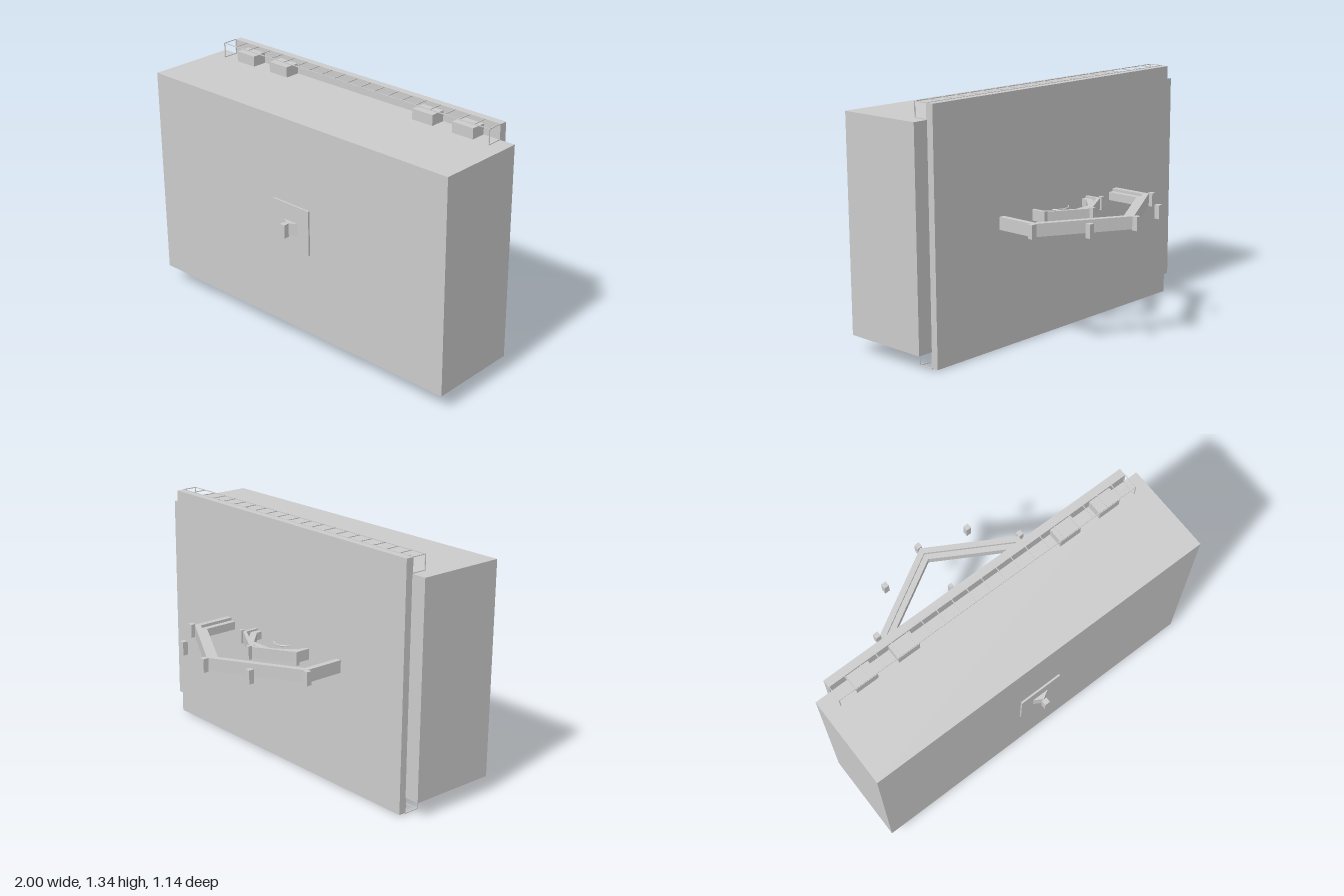
import * as THREE from 'three';

const material = new THREE.MeshStandardMaterial({ color: 0xcccccc, flatShading: true });
const MID_Y = 0.672;

// Box given by its minimum and maximum corners
function box(parent, name, [x0, y0, z0], [x1, y1, z1]) {
  const mesh = new THREE.Mesh(new THREE.BoxGeometry(x1 - x0, y1 - y0, z1 - z0), material);
  mesh.position.set((x0 + x1) / 2, (y0 + y1) / 2, (z0 + z1) / 2);
  mesh.name = name;
  parent.add(mesh);
  return mesh;
}

// Regular polygon wall lying flat, sized by its outer and inner apothem
function polygonWall(parent, name, sides, start, outer, inner, y0, y1) {
  const points = (apothem) => Array.from({ length: sides }, (_, i) => {
    const a = start + (i / sides) * Math.PI * 2;
    const r = apothem / Math.cos(Math.PI / sides);
    return new THREE.Vector2(r * Math.cos(a), r * Math.sin(a));
  });
  const shape = new THREE.Shape(points(outer));
  shape.holes.push(new THREE.Path(points(inner).reverse()));
  const geometry = new THREE.ExtrudeGeometry(shape, { depth: y1 - y0, bevelEnabled: false });
  geometry.rotateX(-Math.PI / 2);
  const mesh = new THREE.Mesh(geometry, material);
  mesh.position.y = y0;
  mesh.name = name;
  parent.add(mesh);
}

// Square posts spaced evenly round a circle, aligned with the axes
function posts(parent, name, count, radius, half) {
  for (let i = 0; i < count; i++) {
    const a = (i / count) * Math.PI * 2;
    const x = radius * Math.sin(a), z = radius * Math.cos(a);
    box(parent, name, [x - half, MID_Y - 0.037, z - half], [x + half, MID_Y + 0.037, z + half]);
  }
}

// Thin wire ladder with an end frame at each side
function wireLadder(name, outerY, innerY) {
  const group = new THREE.Group();
  group.name = name;
  const t = 0.002, w = 0.913, depth = 0.086, cells = 20;
  const wire = (part, a, b) => box(group, part,
    a.map((v, i) => Math.min(v, b[i]) - t), a.map((v, i) => Math.max(v, b[i]) + t));
  for (const z of [0.002, depth]) wire('rail', [-w, outerY, z], [w, outerY, z]);
  for (let i = 0; i <= cells; i++) {
    const x = -w + (2 * w * i) / cells;
    wire('rung', [x, outerY, 0.002], [x, outerY, depth]);
  }
  for (const x of [-w, w]) {
    for (const z of [0.002, depth]) wire('endUpright', [x, outerY, z], [x, innerY, z]);
    wire('endTie', [x, innerY, 0.002], [x, innerY, depth]);
  }
  return group;
}

export function createModel() {
  const model = new THREE.Group();
  model.name = 'model';

  // Main body and plates
  box(model, 'mainBlock', [-1, 0.09, 0], [1, 1.256, 0.5]);
  box(model, 'backPlate', [-0.915, 0.006, -0.04], [0.915, 1.338, 0]);
  box(model, 'frontPanel', [-0.125, 0.55, 0.5], [0.125, 0.8, 0.51]);

  // Brackets and wire ladders on the top and bottom
  for (const side of [-1, 1]) for (const x of [0.5, 0.75]) {
    const cx = side * x;
    box(model, 'topBracket', [cx - 0.064, 1.256, 0], [cx + 0.064, 1.313, 0.084]);
  }
  model.add(wireLadder('topLadder', 1.338, 1.258), wireLadder('bottomLadder', 0.002, 0.088));

  // Concentric walls passing through the block
  const walls = new THREE.Group();
  walls.name = 'concentricWalls';
  model.add(walls);
  const hex = Math.PI / 6;
  polygonWall(walls, 'outerWall', 6, hex, 0.466, 0.434, 0.638, 0.706);
  polygonWall(walls, 'outerWallLedge', 6, hex, 0.436, 0.403, 0.645, 0.69);
  posts(walls, 'outerPost', 12, 0.555, 0.015);
  polygonWall(walls, 'innerWall', 6, hex, 0.222, 0.203, 0.642, 0.702);
  posts(walls, 'innerPost', 6, 0.263, 0.011);
  polygonWall(walls, 'octagonWall', 8, Math.PI / 8, 0.206, 0.172, 0.65, 0.692);

  // Small ring at the centre
  const ring = new THREE.Mesh(new THREE.TorusGeometry(0.073, 0.004, 6, 32), material);
  ring.name = 'centreRing';
  ring.rotation.x = Math.PI / 2;
  ring.position.y = MID_Y;
  walls.add(ring);

  return model;
}
